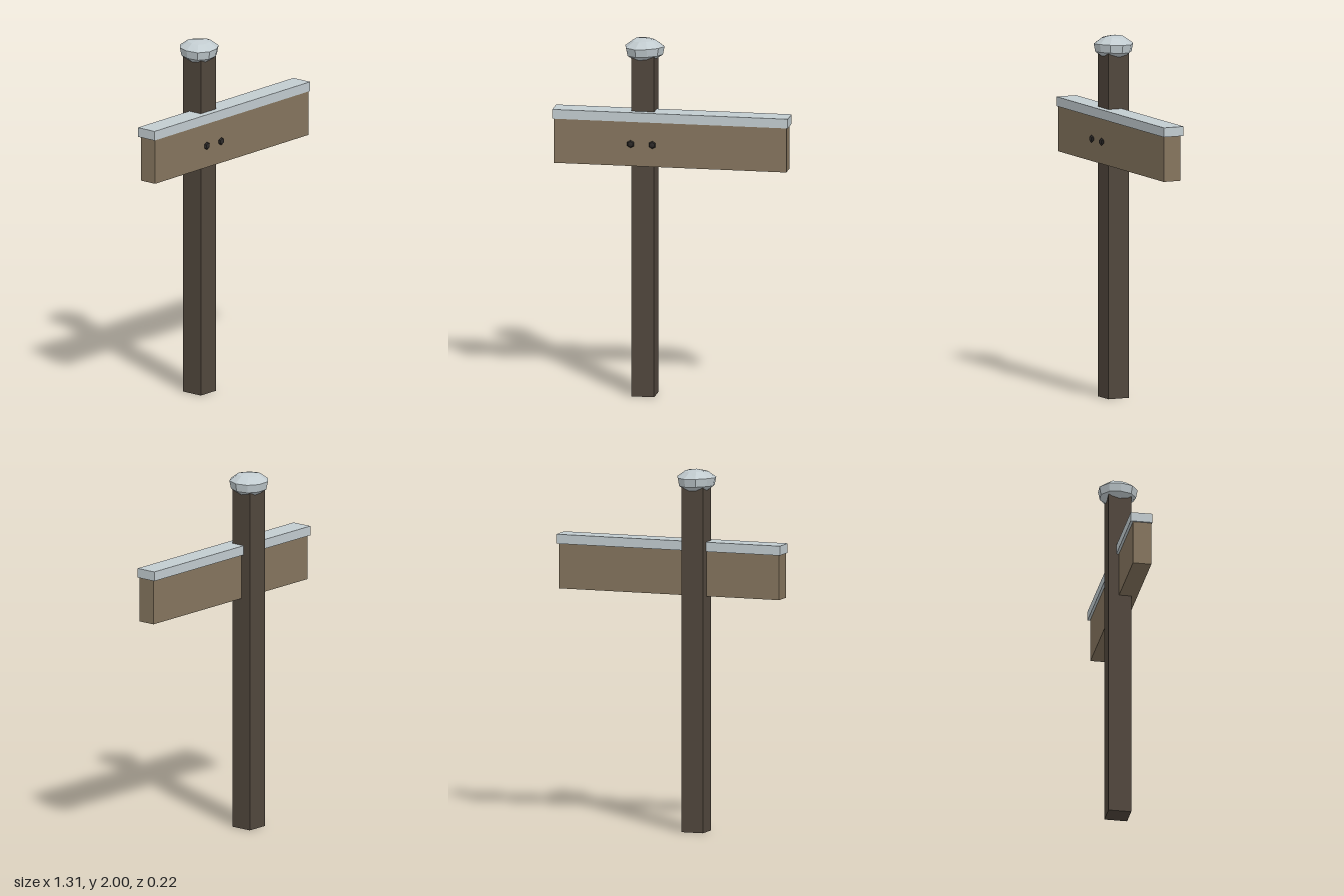
import * as THREE from 'three';

const material = (name, color) => {
  const m = new THREE.MeshStandardMaterial({ color, flatShading: true });
  m.name = name;
  return m;
};

export function createModel() {
  const group = new THREE.Group();
  group.name = 'signpost';
  const darkWood = material('dark wood', 0x51473d);
  const lightWood = material('light wood', 0x85755e);
  const snow = material('snow', 0xc2ccd0);
  const iron = material('dark iron', 0x2d2a29);

  const add = (name, geometry, mat, x, y, z) => {
    const mesh = new THREE.Mesh(geometry, mat);
    mesh.name = name;
    mesh.position.set(x, y, z);
    group.add(mesh);
    return mesh;
  };

  // Square post, sign board and the snow lying along it
  add('post', new THREE.BoxGeometry(0.126, 1.93, 0.126), darkWood, -0.158, 0.965, -0.005);
  add('board', new THREE.BoxGeometry(1.29, 0.25, 0.102), lightWood, 0, 1.425, 0.041);
  add('boardSnow', new THREE.BoxGeometry(1.308, 0.052, 0.12), snow, 0, 1.574, 0.036);

  // Faceted bolt heads, flattened front to back
  for (const x of [-0.218, -0.098]) {
    const head = new THREE.SphereGeometry(0.022, 6, 4);
    head.rotateX(Math.PI / 2).rotateZ(Math.PI / 6).scale(1, 1, 0.48);
    add('bolt', head, iron, x, 1.425, 0.1);
  }

  // Ten-sided snow cap with a slightly uneven outline
  const profile = [[0, 1.88], [0.06, 1.882], [0.1, 1.91], [0.109, 1.955], [0.064, 1.988], [0, 2]]
    .map(([r, y]) => new THREE.Vector2(r, y));
  const cap = new THREE.LatheGeometry(profile, 10, Math.PI / 2);
  const p = cap.attributes.position;
  for (let i = 0; i < p.count; i++) {
    const x = p.getX(i), z = p.getZ(i), r = Math.hypot(x, z);
    if (r < 0.01) continue;
    const a = Math.atan2(z, x);
    const k = 1 + 0.03 * Math.sin(3 * a + 1);
    p.setXYZ(i, x * k, p.getY(i) + 0.003 * Math.sin(2 * a), z * k);
  }
  add('snowCap', cap, snow, -0.16, 0, -0.006);

  return group;
}
